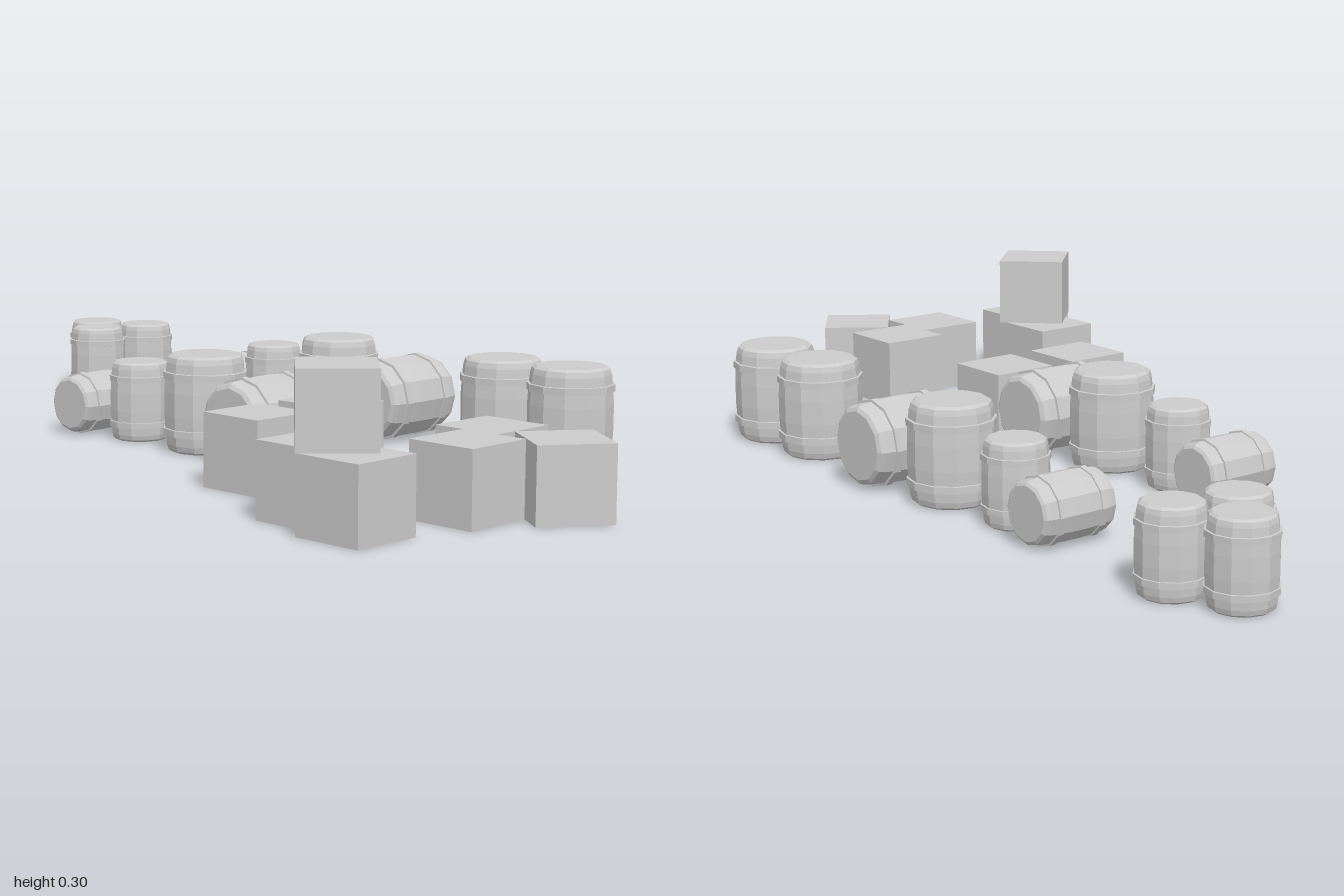
import * as THREE from 'three';

const grey = new THREE.MeshStandardMaterial({ color: 0xcccccc, flatShading: true });
const SIDES = 12;
const BOX = 0.151;

// Turned solid from [radius, height] pairs
const turned = (pairs, r, h) =>
  new THREE.LatheGeometry(pairs.map(([x, y]) => new THREE.Vector2(x * r, y * h)), SIDES);

// Barrel centred on its own middle: staved body, chamfered lids, two hoops
function makeBarrel(r, h) {
  const barrel = new THREE.Group();
  const body = new THREE.Mesh(turned([
    [0, -0.5], [0.79, -0.5], [0.88, -0.475], [0.92, -0.42], [0.95, -0.3], [0.975, -0.12],
    [0.975, 0.12], [0.95, 0.3], [0.92, 0.42], [0.88, 0.475], [0.79, 0.5], [0, 0.5],
  ], r, h), grey);
  body.name = 'barrelBody';
  barrel.add(body);
  for (const s of [-1, 1]) {
    const y = s * 0.29;
    const hoop = new THREE.Mesh(turned([
      [0.92, y - 0.04], [1, y - 0.035], [1, y + 0.035], [0.92, y + 0.04],
    ], r, h), grey);
    hoop.name = 'barrelHoop';
    barrel.add(hoop);
  }
  return barrel;
}

export function createModel() {
  const model = new THREE.Group();
  const large = { name: 'largeBarrel', r: 0.092, h: 0.21 };
  const small = { name: 'smallBarrel', r: 0.069, h: 0.174 };

  const addBarrel = (type, x, z, lying = false) => {
    const barrel = makeBarrel(type.r, type.h);
    barrel.name = lying ? type.name + 'Lying' : type.name;
    barrel.position.set(x, lying ? type.r : type.h / 2, z);
    if (lying) barrel.rotation.z = Math.PI / 2;
    model.add(barrel);
  };

  // Two matching rows of barrels
  for (const x of [-0.03, 0.388]) {
    addBarrel(large, x, 0.094, true);
    addBarrel(large, x, -0.088);
    addBarrel(small, x, -0.297);
    addBarrel(small, x, -0.438, true);
  }

  // Large pair at the front, small trio at the back
  for (const z of [0.39, 0.57]) addBarrel(large, 0.388, z);
  for (const [x, z] of [[0.388, -0.931], [0.302, -0.828], [0.437, -0.803]]) addBarrel(small, x, z);

  // Crates: x, z, turn in degrees, level
  const crates = [
    [-0.242, 0.287, 0, 0], [-0.033, 0.287, 0, 0],
    [-0.39, 0.582, 0, 0], [-0.439, 0.732, 0, 0], [-0.409, 0.656, 45, 1],
    [-0.184, 0.773, 0, 0], [-0.033, 0.706, 0, 0], [-0.042, 0.888, -36, 0],
  ];
  const crateGeometry = new THREE.BoxGeometry(BOX, BOX, BOX);
  for (const [x, z, turn, level] of crates) {
    const crate = new THREE.Mesh(crateGeometry, grey);
    crate.name = 'crate';
    crate.position.set(x, BOX * (level + 0.5), z);
    crate.rotation.y = THREE.MathUtils.degToRad(turn);
    model.add(crate);
  }
  return model;
}
